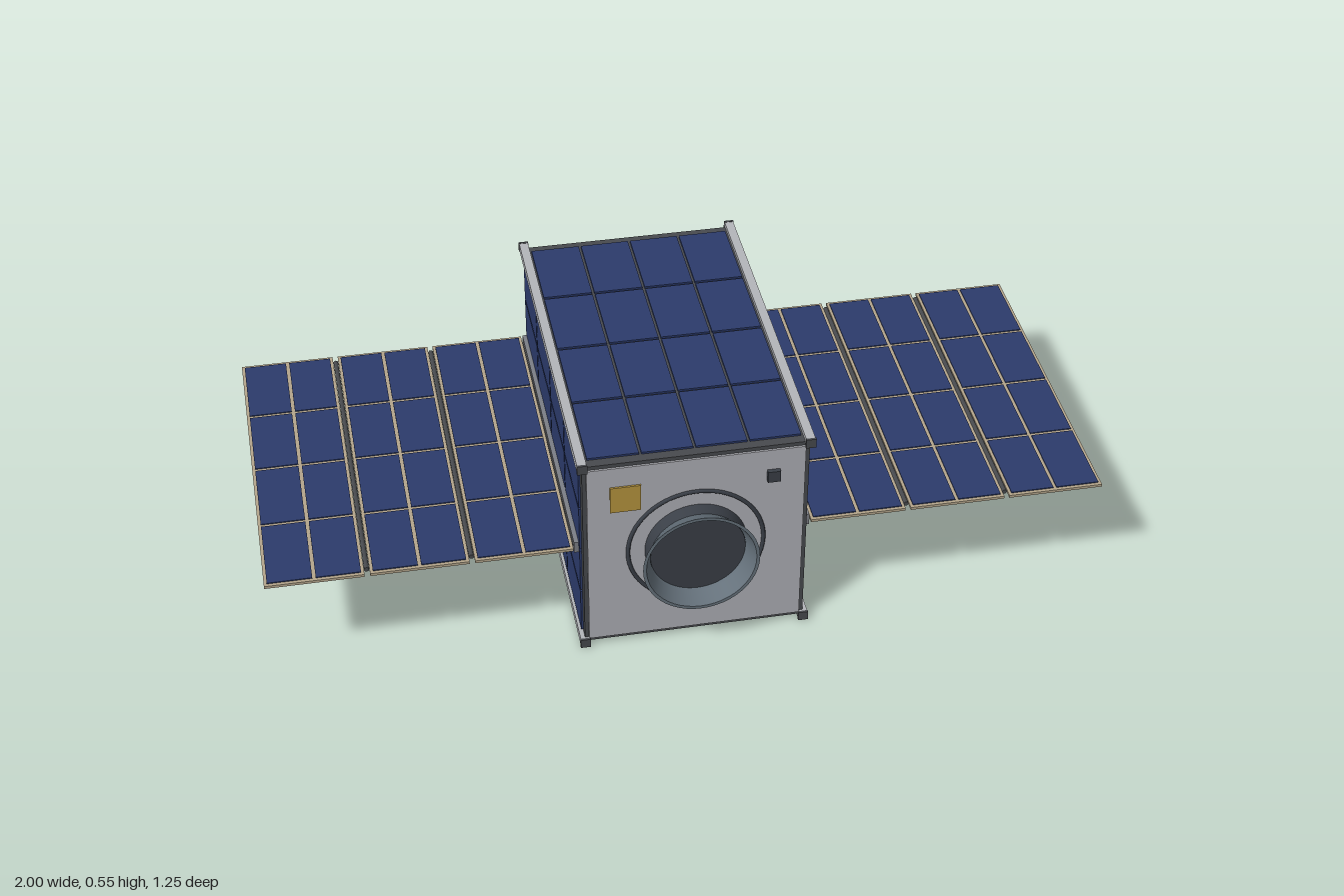
import * as THREE from 'three';

const mat = (name, color, side = THREE.FrontSide) => {
  const m = new THREE.MeshStandardMaterial({ color, side });
  m.name = name;
  return m;
};

export function createModel() {
  const cell = mat('solar cell blue', 0x2c3b6b);
  const frame = mat('dark frame', 0x484a4e);
  const plate = mat('end plate grey', 0xb0b1b7);
  const rail = mat('rail aluminium', 0xb4b6ba);
  const tan = mat('panel substrate tan', 0xb5a68c);
  const gold = mat('gold foil', 0xb8963f);
  const dark = mat('dark fitting', 0x3a3f47);
  const steel = mat('baffle blue grey', 0x65717b, THREE.DoubleSide);
  const hinge = mat('hinge grey', 0x7c7f86);

  const root = new THREE.Group();
  root.name = 'satellite';
  const CY = 0.288;           // height of the body axis
  const ZF = 0.547, ZB = -0.347, ZC = 0.1;

  const add = (parent, name, geo, m, x = 0, y = 0, z = 0) => {
    const mesh = new THREE.Mesh(geo, m);
    mesh.name = name;
    mesh.position.set(x, y, z);
    parent.add(mesh);
    return mesh;
  };
  const box = (parent, name, m, w, h, d, x, y, z) =>
    add(parent, name, new THREE.BoxGeometry(w, h, d), m, x, y, z);
  const disc = (parent, name, m, r, depth, x, y, z) =>
    add(parent, name, new THREE.CylinderGeometry(r, r, depth, 32).rotateX(Math.PI / 2), m, x, y, z);

  // Body core and end plates
  const body = new THREE.Group();
  body.name = 'body';
  body.position.y = CY;
  root.add(body);
  box(body, 'bodyCore', frame, 0.53, 0.53, ZF - ZB, 0, 0, ZC);
  box(body, 'frontPlate', plate, 0.51, 0.51, 0.006, 0, 0, ZF + 0.002);
  box(body, 'backPlate', plate, 0.51, 0.51, 0.006, 0, 0, ZB - 0.002);

  // Corner rails with dark end feet
  for (const sx of [-1, 1]) for (const sy of [-1, 1]) {
    box(body, 'cornerRail', rail, 0.022, 0.022, 0.906, sx * 0.265, sy * 0.265, ZC);
    for (const z of [0.555, -0.355])
      box(body, 'railFoot', frame, 0.024, 0.024, 0.006, sx * 0.265, sy * 0.265, z);
  }

  // Four by four solar cells on each long face
  for (let side = 0; side < 4; side++) {
    const face = new THREE.Group();
    face.name = 'bodySolarFace';
    face.rotation.z = side * Math.PI / 2;
    body.add(face);
    for (let i = 0; i < 4; i++) for (let j = 0; j < 4; j++)
      box(face, 'bodyCell', cell, 0.12, 0.006, 0.206,
        (i - 1.5) * 0.126, 0.267, ZC + (j - 1.5) * 0.2135);
  }

  // Telescope: mounting ring, collar, flared baffle and recessed lens
  const scope = new THREE.Group();
  scope.name = 'telescope';
  scope.position.set(0, CY, 0);
  root.add(scope);
  add(scope, 'frontRing', new THREE.TorusGeometry(0.161, 0.005, 8, 64), dark, 0, 0, 0.553);
  const lathe = pts => new THREE.LatheGeometry(
    pts.map(([r, z]) => new THREE.Vector2(r, z)), 48).rotateX(Math.PI / 2);
  add(scope, 'collar', lathe([[0.122, 0.549], [0.113, 0.582]]), dark);
  add(scope, 'baffleOuter', lathe([[0.113, 0.58], [0.118, 0.588], [0.138, 0.623]]), steel);
  add(scope, 'baffleLip', lathe([[0.138, 0.623], [0.13, 0.623]]), steel);
  add(scope, 'baffleInner', lathe([[0.13, 0.623], [0.112, 0.575]]), steel);
  disc(scope, 'lens', dark, 0.113, 0.022, 0, 0, 0.566);

  // Front fittings
  box(root, 'goldPatch', gold, 0.072, 0.072, 0.007, -0.166, 0.453, 0.553);
  box(root, 'frontSensor', dark, 0.03, 0.03, 0.014, 0.18, 0.472, 0.556);

  // Back ring and its fittings
  const back = new THREE.Group();
  back.name = 'backFittings';
  back.position.y = CY;
  root.add(back);
  add(back, 'backRing', new THREE.TorusGeometry(0.165, 0.005, 8, 64), dark, 0, 0, -0.353);
  box(back, 'topBlock', dark, 0.032, 0.026, 0.014, 0, 0.165, -0.357);
  disc(back, 'sideKnob', dark, 0.027, 0.018, -0.165, 0, -0.358);
  disc(back, 'paddleBase', dark, 0.016, 0.016, 0.155, 0, -0.357);
  disc(back, 'paddleStem', dark, 0.005, 0.03, 0.155, 0, -0.369);
  box(back, 'goldPaddle', gold, 0.072, 0.017, 0.006, 0.155, 0, -0.382);

  // Whip antenna
  const a = new THREE.Vector3(-0.17, 0.12, -0.36);
  const b = new THREE.Vector3(0.137, 0.232, -0.62);
  disc(root, 'antennaBase', dark, 0.013, 0.018, a.x, a.y, -0.357);
  add(root, 'antenna', new THREE.TubeGeometry(new THREE.LineCurve3(a, b), 1, 0.003, 8), dark);

  // Folding wings: three hinged panels a side, two by four cells each
  for (const s of [-1, 1]) {
    const wing = new THREE.Group();
    wing.name = s > 0 ? 'leftWing' : 'rightWing';
    wing.position.y = CY;
    root.add(wing);
    box(wing, 'rootHinge', hinge, 0.014, 0.03, 0.83, s * 0.274, 0, ZC - 0.003);
    for (let p = 0; p < 3; p++) {
      const x = 0.3985 + p * 0.243;
      box(wing, 'wingPanel', tan, 0.23, 0.007, 0.85, s * x, 0, 0.095);
      const rod = new THREE.CylinderGeometry(0.006, 0.006, 0.81, 10).rotateX(Math.PI / 2);
      add(wing, 'hingeRod', rod, frame, s * (x - 0.1215), 0, 0.095);
      for (let i = 0; i < 2; i++) for (let j = 0; j < 4; j++)
        box(wing, 'wingCell', cell, 0.104, 0.004, 0.202,
          s * (x + (i - 0.5) * 0.112), 0.004, 0.095 + (j - 1.5) * 0.2105);
    }
  }
  return root;
}
